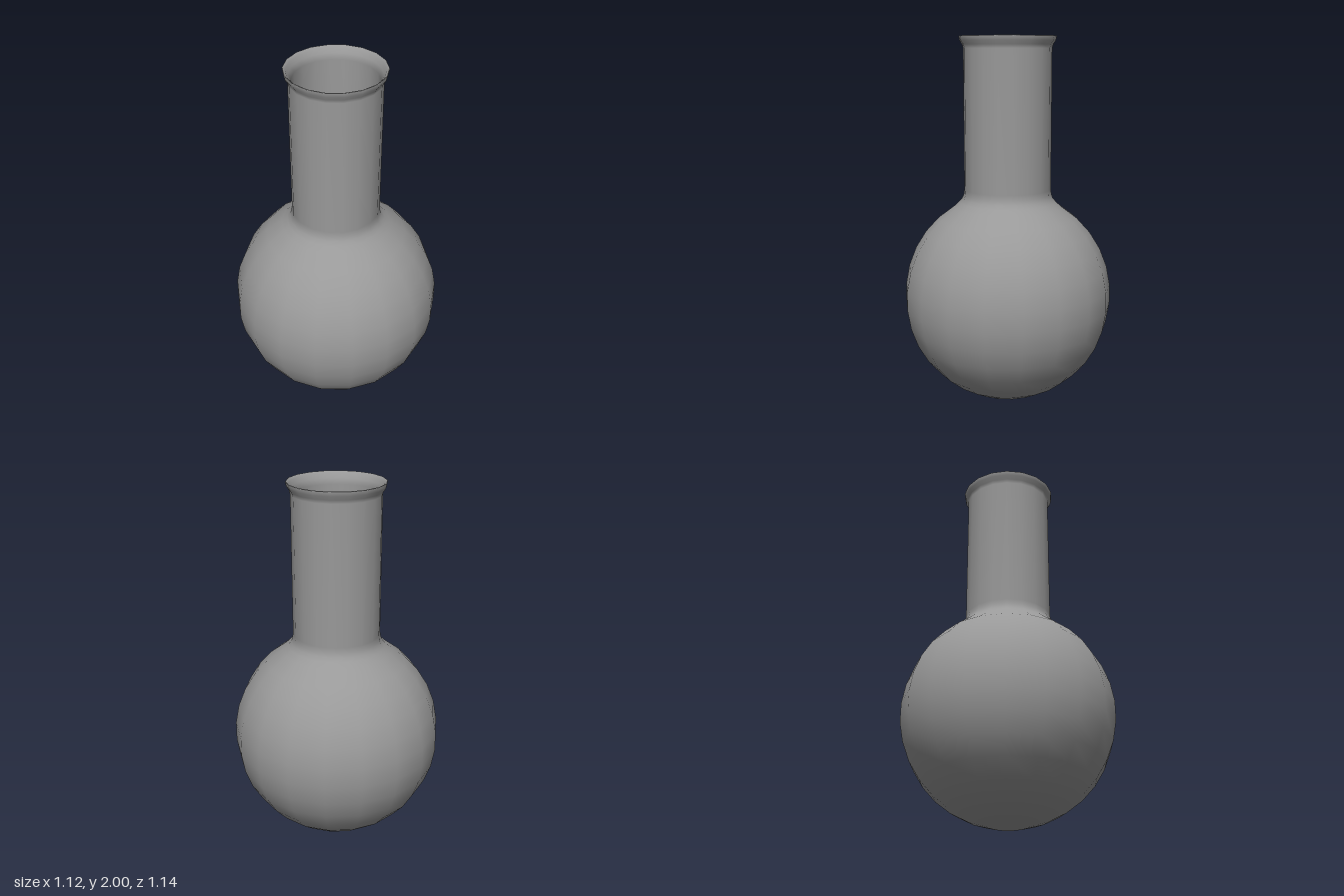
import * as THREE from 'three';

const SIDES = 18;
const CENTRE_Y = 0.583;
const NECK_Y = 1.18;

// Points on a round bulb, from the bottom pole up to the shoulder
function bulbArc(rx, ry) {
  const steps = 14;
  const points = [];
  for (let i = 0; i <= steps; i++) {
    const a = (2.6 * i) / steps;
    points.push(new THREE.Vector2(rx * Math.sin(a), CENTRE_Y - ry * Math.cos(a)));
  }
  return points;
}

const toPoints = (pairs) => pairs.map(([r, y]) => new THREE.Vector2(r, y));

export function createModel() {
  const group = new THREE.Group();
  group.name = 'flask';
  const material = new THREE.MeshStandardMaterial({ color: 0x999999, side: THREE.DoubleSide });

  const profile = [
    // Outer wall: bulb, fillet, straight neck and flared lip
    ...bulbArc(0.572, 0.583),
    ...toPoints([
      [0.265, 1.11], [0.248, 1.13], [0.24, 1.153], [0.237, NECK_Y],
      [0.237, 1.935], [0.243, 1.955], [0.256, 1.975], [0.261, 1.997],
    ]),
    // Inner wall: over the lip and back down to the bottom of the bulb
    ...toPoints([
      [0.258, 2.0], [0.246, 1.988], [0.234, 1.965], [0.221, 1.935],
      [0.221, NECK_Y], [0.224, 1.145], [0.233, 1.115], [0.25, 1.09],
    ]),
    ...bulbArc(0.556, 0.567).reverse(),
  ];

  const wall = new THREE.Mesh(new THREE.LatheGeometry(profile, SIDES), material);
  wall.name = 'flaskWall';
  group.add(wall);
  return group;
}
